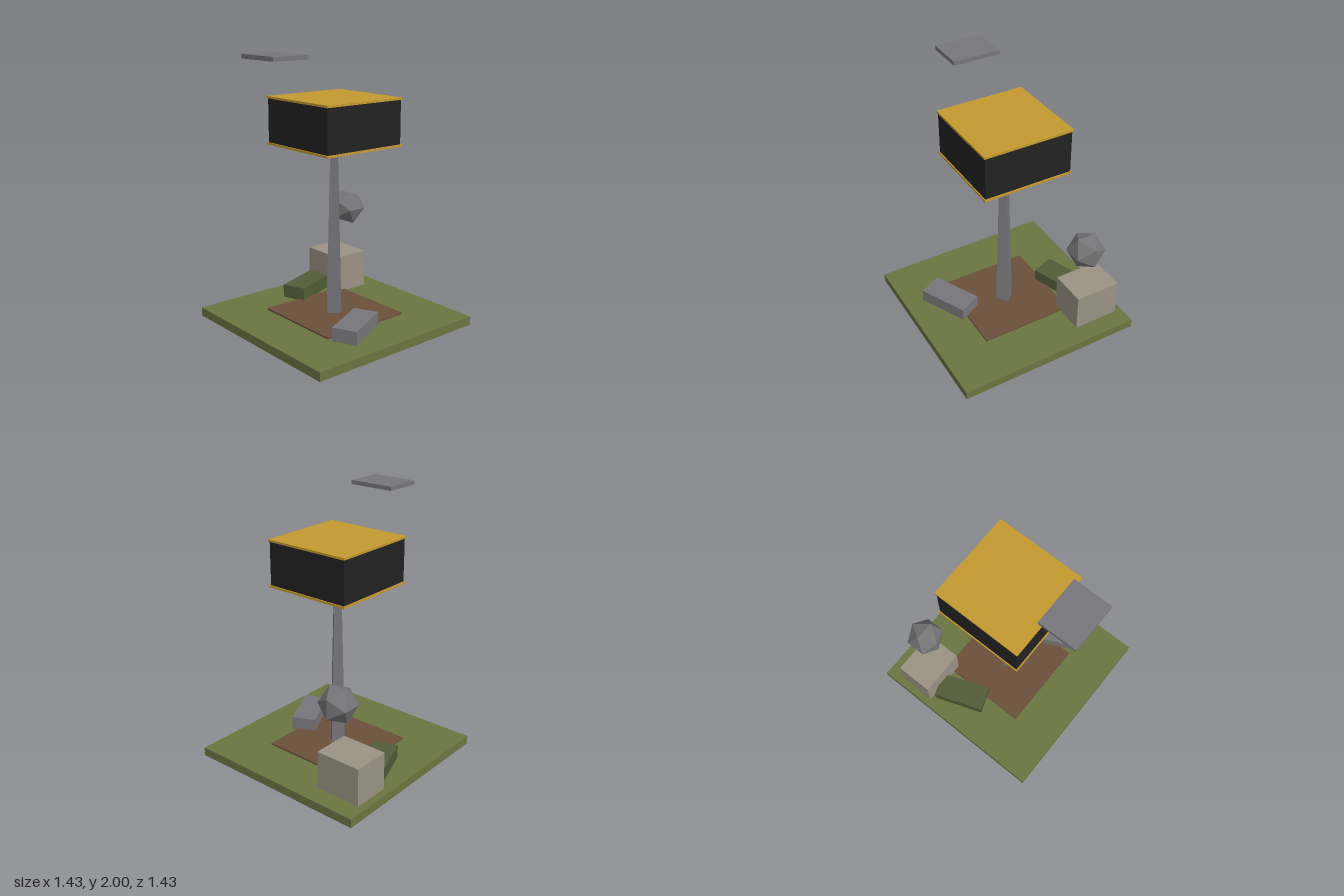
import * as THREE from 'three';

const paint = (name, color) => {
  const m = new THREE.MeshStandardMaterial({ color });
  m.name = name;
  return m;
};

export function createModel() {
  const grass = paint('grass green', 0x6b7440);
  const moss = paint('moss green', 0x525c38);
  const dirt = paint('dirt brown', 0x6a503b);
  const steel = paint('steel grey', 0x77777b);
  const stone = paint('stone grey', 0x757577);
  const tan = paint('warm grey', 0x9a9284);
  const gold = paint('gold', 0xc4992f);
  const black = paint('screen black', 0x222222);

  const model = new THREE.Group();
  model.name = 'billboardPlot';

  const add = (name, geometry, material, x, y, z, turn = 0, parent = model) => {
    const mesh = new THREE.Mesh(geometry, material);
    mesh.name = name;
    mesh.position.set(x, y, z);
    mesh.rotation.y = turn;
    parent.add(mesh);
    return mesh;
  };
  // Box given by its bottom and top heights
  const box = (name, material, w, d, y0, y1, x = 0, z = 0, turn = 0, parent = model) =>
    add(name, new THREE.BoxGeometry(w, y1 - y0, d), material, x, (y0 + y1) / 2, z, turn, parent);

  // Ground
  box('lawn', grass, 1.43, 1.43, 0, 0.065);
  box('dirtPatch', dirt, 0.714, 0.714, 0.062, 0.078);

  // Four-sided tapered pole with its corners on the axes
  const pole = new THREE.CylinderGeometry(0.0357, 0.0714, 1.25, 4).toNonIndexed();
  pole.computeVertexNormals();
  add('pole', pole, steel, 0, 0.697, 0);

  // Sign head: dark screens between two gold plates
  const head = new THREE.Group();
  head.name = 'signHead';
  model.add(head);
  box('screens', black, 0.664, 0.664, 1.349, 1.666, 0, 0, 0, head);
  for (const [name, y] of [['bottomPlate', 1.333], ['topPlate', 1.666]]) {
    box(name, gold, 0.68, 0.68, y, y + 0.016, 0, 0, 0, head);
  }

  // Turned blocks on the lawn
  box('greyBlock', steel, 0.187, 0.393, 0.07, 0.17, 0.403, 0.141, 0.45);
  box('mossBlock', moss, 0.187, 0.393, 0.07, 0.17, -0.468, -0.11, 0.35);
  box('crate', tan, 0.357, 0.286, 0.065, 0.354, -0.48, -0.43);

  // Floating pieces
  box('floatingSlab', steel, 0.357, 0.284, 1.97, 2, 0, 0.507);
  add('floatingRock', new THREE.IcosahedronGeometry(0.142, 0), stone, -0.407, 0.72, -0.478);

  return model;
}
